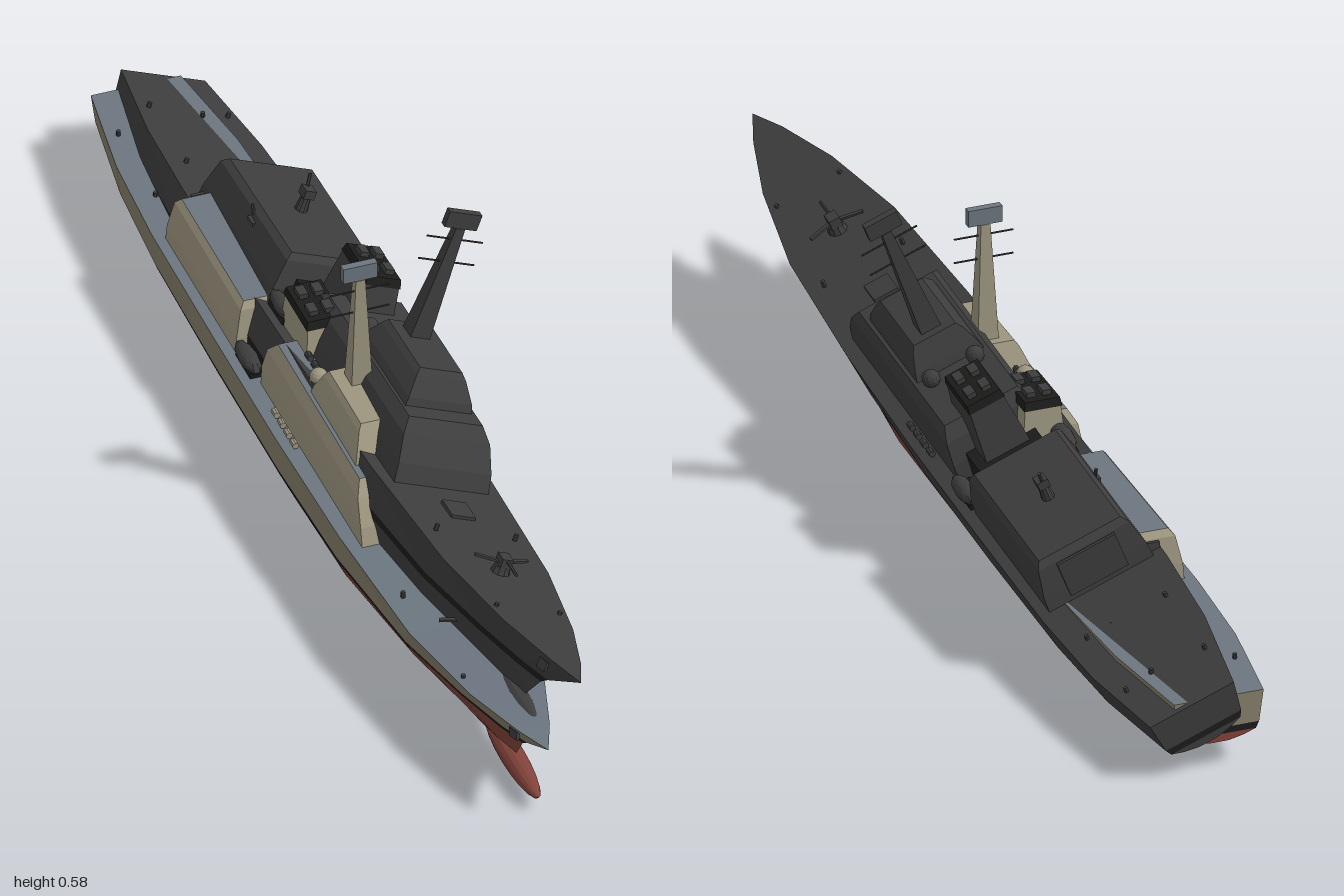
import * as THREE from 'three';

const paint = (name, color) => {
  const m = new THREE.MeshStandardMaterial({ color, flatShading: true });
  m.name = name;
  return m;
};

// Hull stations from bow to stern: s, then [half width, height] per level
const S = [1, 0.93, 0.8, 0.6, 0.3, 0, -0.3, -0.6, -0.8, -1];
const LEVELS = [
  { stem: 1, w: [0, .028, .066, .1, .115, .12, .12, .118, .108, .08], y: [.165, .163, .157, .15, .143, .14, .138, .136, .135, .134] },
  { stem: .895, w: [0, .021, .05, .085, .11, .117, .117, .113, .101, .072], y: [.106, .102, .095, .086, .079, .077, .077, .075, .075, .076] },
  { stem: .875, w: [0, .019, .046, .08, .105, .112, .112, .107, .095, .066], y: [.091, .087, .08, .071, .064, .062, .062, .06, .061, .064] },
  { stem: .845, w: [0, .013, .03, .058, .086, .092, .092, .082, .062, .045], y: [.05, .045, .038, .029, .022, .02, .02, .028, .043, .056] },
  { stem: .81, w: [0, .005, .011, .022, .035, .04, .04, .032, .022, .018], y: [.03, .02, .01, .003, 0, 0, 0, .008, .03, .05] },
];

// Mesh from a list of quads, each four points in counter-clockwise order
function quadMesh(name, quads, mat) {
  const p = [];
  for (const [a, b, c, d] of quads) p.push(...a, ...b, ...c, ...a, ...c, ...d);
  const g = new THREE.BufferGeometry();
  g.setAttribute('position', new THREE.Float32BufferAttribute(p, 3));
  g.computeVertexNormals();
  const m = new THREE.Mesh(g, mat);
  m.name = name;
  return m;
}

// Quads of chosen columns between successive closed rings
function bandQuads(rings, cols) {
  const out = [];
  for (let i = 0; i + 1 < rings.length; i++) {
    for (const j of cols) {
      const k = (j + 1) % rings[i].length;
      out.push([rings[i][j], rings[i][k], rings[i + 1][k], rings[i + 1][j]]);
    }
  }
  return out;
}

// Tapered block from levels of [y, half width, front z, back z]
function block(parent, name, levels, wall, roof) {
  const rings = levels.map(([y, w, f, b]) => [[w, y, f], [w, y, b], [-w, y, b], [-w, y, f]]);
  parent.add(quadMesh(name, bandQuads(rings, [0, 1, 2, 3]), wall));
  parent.add(quadMesh(name + 'Roof', [rings[rings.length - 1]], roof));
}

function part(parent, name, geo, mat, x, y, z, rx = 0, ry = 0, rz = 0) {
  const m = new THREE.Mesh(geo, mat);
  m.name = name;
  m.position.set(x, y, z);
  m.rotation.set(rx, ry, rz);
  parent.add(m);
  return m;
}

const box = (x, y, z) => new THREE.BoxGeometry(x, y, z);
const cyl = (a, b, h, n = 10) => new THREE.CylinderGeometry(a, b, h, n);

function buildShip(name, c) {
  const ship = new THREE.Group();
  ship.name = name;

  // Hull, split into topsides, waterline band, underbody, deck and transom
  const rings = S.map((s, i) => {
    const side = LEVELS.map(l => [l.w[i], l.y[i], s > 0 ? s * l.stem : s]);
    return [...side, ...side.map(([x, y, z]) => [-x, y, z]).reverse()];
  });
  ship.add(quadMesh('hullTopsides', bandQuads(rings, [0, 8]), c.hull));
  ship.add(quadMesh('waterlineBand', bandQuads(rings, [1, 7]), c.band));
  ship.add(quadMesh('underbody', bandQuads(rings, [2, 3, 4, 5, 6]), c.bottom));
  ship.add(quadMesh('deck', bandQuads(rings, [9]), c.deck));
  const end = rings[rings.length - 1];
  [c.hull, c.band, c.bottom, c.bottom].forEach((mat, j) =>
    ship.add(quadMesh('transom', [[end[j], end[j + 1], end[8 - j], end[9 - j]]], mat)));

  // Bow bulb
  const bulb = part(ship, 'bowBulb', new THREE.SphereGeometry(1, 14, 10), c.bottom, 0, .03, .825, Math.PI / 2);
  bulb.scale.set(.021, .125, .019);

  // Superstructure
  block(ship, 'forwardBlock', [[.135, .09, .345, -.15], [.175, .088, .33, -.15], [.215, .082, .3, -.14], [.236, .07, .275, -.12]], c.house, c.deck);
  block(ship, 'bridge', [[.234, .064, .24, .02], [.25, .06, .235, .025], [.28, .047, .21, .04], [.29, .04, .2, .045]], c.house, c.house);
  block(ship, 'hangar', [[.13, .1, -.245, -.585], [.165, .098, -.245, -.582], [.215, .087, -.255, -.575], [.226, .078, -.265, -.565]], c.house, c.deck);
  block(ship, 'midshipRecess', [[.13, .065, -.14, -.25], [.185, .06, -.14, -.25]], c.band, c.band);
  part(ship, 'hangarDoor', box(.11, .07, .006), c.metal, 0, .18, -.583);

  // Funnel with dark cap and exhausts
  block(ship, 'funnel', [[.18, .042, -.06, -.2], [.283, .032, -.08, -.19]], c.house, c.house);
  block(ship, 'funnelCap', [[.283, .034, -.078, -.192], [.298, .031, -.083, -.188]], c.band, c.band);
  for (const x of [-.014, .014])
    for (const z of [-.11, -.16]) part(ship, 'exhaust', box(.016, .01, .026), c.metal, x, .302, z);

  // Mast, yards and radar panel
  block(ship, 'mast', [[.235, .021, .1, .055], [.3, .018, .097, .062], [.5, .0085, .09, .074]], c.house, c.house);
  for (const y of [.433, .477]) part(ship, 'yard', cyl(.0016, .0016, .106, 6), c.metal, 0, y, .084, 0, 0, Math.PI / 2);
  part(ship, 'radarPanel', box(.061, .03, .014), c.deck, 0, .515, .082);

  // Foredeck gun, hatch and bollards
  part(ship, 'gunBase', cyl(.014, .018, .016), c.metal, 0, .156, .62);
  part(ship, 'gunHouse', box(.02, .018, .026), c.metal, 0, .172, .62);
  part(ship, 'gunBarrel', cyl(.003, .003, .05, 6), c.metal, 0, .177, .65, Math.PI / 2);
  for (const x of [-1, 1]) part(ship, 'gunArm', box(.05, .004, .007), c.metal, x * .026, .17, .613, 0, x * .3, 0);
  part(ship, 'hatch', box(.045, .008, .05), c.metal, 0, .148, .42);

  // Light gun on the hangar roof
  part(ship, 'aftMount', cyl(.009, .012, .03), c.metal, 0, .238, -.42);
  part(ship, 'aftGun', box(.02, .016, .024), c.metal, 0, .26, -.42);
  part(ship, 'aftBarrel', cyl(.003, .003, .03, 6), c.metal, 0, .274, -.43, -.3);

  // Mirrored fittings
  for (const x of [-1, 1]) {
    part(ship, 'antennaDome', new THREE.SphereGeometry(.016, 12, 8), c.house, x * .042, .247, 0);
    const boat = part(ship, 'boat', new THREE.SphereGeometry(1, 10, 8), c.metal, x * .094, .158, -.2);
    boat.scale.set(.017, .014, .048);
    part(ship, 'boatCradle', box(.03, .012, .07), c.band, x * .088, .146, -.2);
    for (let i = 0; i < 4; i++)
      part(ship, 'raftCanister', cyl(.006, .006, .016, 8), c.house, x * .1, .15, -.05 + i * .03, Math.PI / 2);
    part(ship, 'anchor', box(.006, .018, .02), c.metal, x * .026, .14, .905, 0, x * -.35, 0);
    part(ship, 'rudder', box(.008, .038, .07), c.bottom, x * .04, .027, -.87);
    part(ship, 'propellerShaft', cyl(.004, .004, .22, 8), c.bottom, x * .035, .024, -.72, Math.PI / 2 + .05);
    for (const z of [.75, .5, -.7, -.88])
      part(ship, 'bollard', cyl(.004, .004, .012, 6), c.metal, x * (z > .7 ? .06 : .075), z > 0 ? .155 : .138, z);
  }
  return ship;
}

export function createModel() {
  const dark = paint('charcoal', 0x3d3d3d);
  const black = paint('black', 0x1c1c1b);
  const model = new THREE.Group();
  model.name = 'twinShips';

  // Upright painted ship
  const painted = buildShip('paintedShip', {
    hull: paint('hullBeige', 0x857f6a), house: paint('houseBeige', 0x9c957f),
    bottom: paint('bottomRed', 0x81423a), deck: paint('deckGrey', 0x6c7680),
    band: black, metal: dark,
  });
  painted.position.set(-.055, 0, 0);

  // Charcoal ship, heeled over and bow up
  const heeled = buildShip('charcoalShip', {
    hull: dark, house: dark, bottom: dark, deck: dark, band: black, metal: dark,
  });
  heeled.position.set(-.053, .068, -.005);
  heeled.rotation.set(-.0575, 0, -.384);

  model.add(painted, heeled);
  return model;
}
